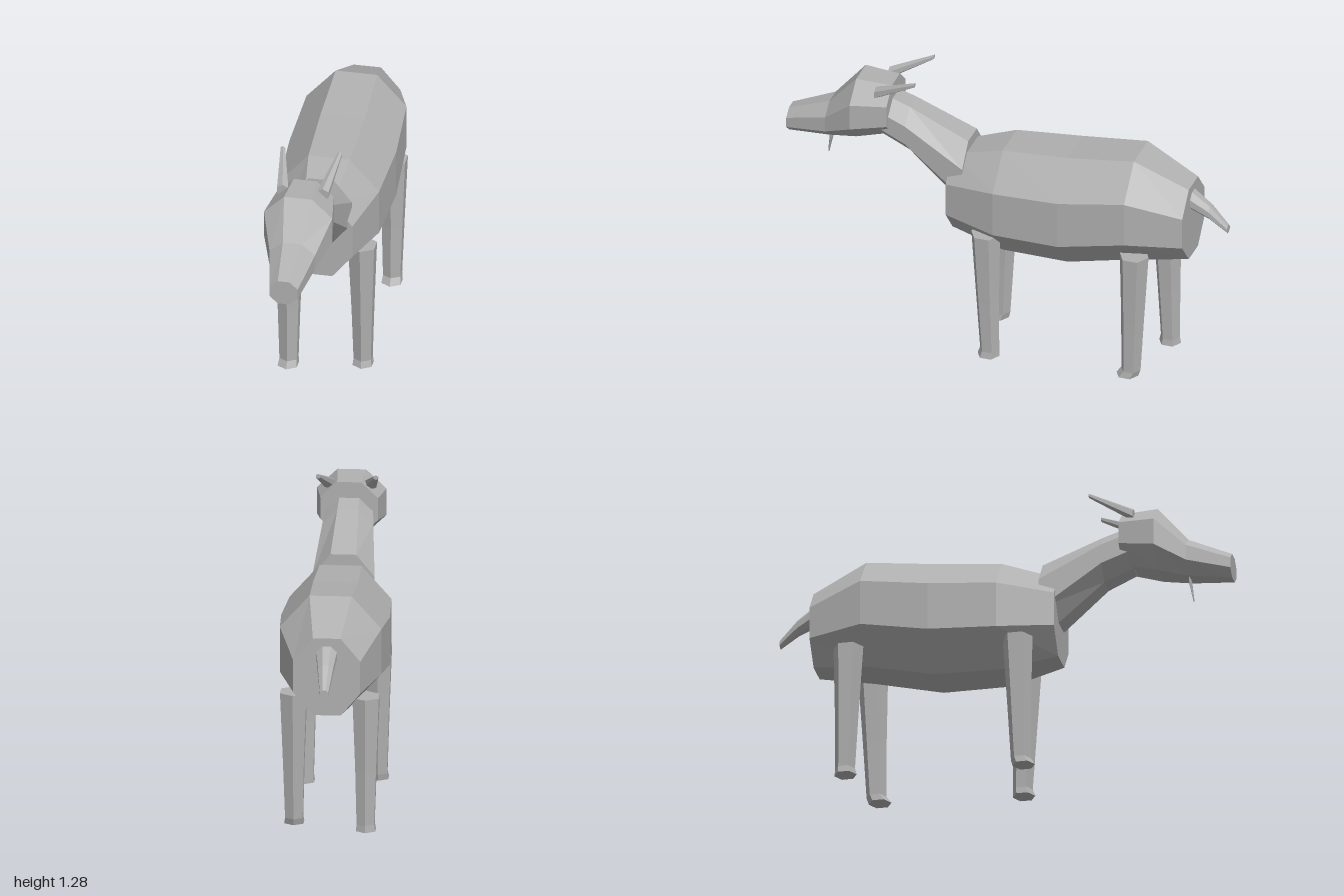
import * as THREE from 'three';

const coat = new THREE.MeshStandardMaterial({ color: 0xb0b0b0, flatShading: true });
coat.name = 'grey coat';

// Capped loft through polygon rings [w, u, v, ru, rv] ordered by rising w.
// axis 'z': u = x, v = y, w = z.  axis 'y': u = z, v = x, w = y.
function loft(name, rings, sides, axis = 'z', phase = 0.5) {
  const pos = [], index = [];
  const put = (u, v, w) => (axis === 'z' ? pos.push(u, v, w) : pos.push(v, w, u));
  const k = 1 / Math.cos(Math.PI / sides);
  for (const [w, u, v, ru, rv] of rings) {
    for (let j = 0; j < sides; j++) {
      const a = ((j + phase) / sides) * Math.PI * 2;
      put(u + ru * k * Math.cos(a), v + rv * k * Math.sin(a), w);
    }
  }
  const last = (rings.length - 1) * sides;
  for (let i = 0; i < last; i += sides) {
    for (let j = 0; j < sides; j++) {
      const n = (j + 1) % sides;
      index.push(i + j, i + n, i + sides + n, i + j, i + sides + n, i + sides + j);
    }
  }
  for (let j = 1; j < sides - 1; j++) {
    index.push(0, j + 1, j, last, last + j, last + j + 1);
  }
  const geo = new THREE.BufferGeometry();
  geo.setAttribute('position', new THREE.Float32BufferAttribute(pos, 3));
  geo.setIndex(index);
  const flat = geo.toNonIndexed();
  flat.computeVertexNormals();
  const mesh = new THREE.Mesh(flat, coat);
  mesh.name = name;
  return mesh;
}

export function createModel() {
  const model = new THREE.Group();
  model.name = 'goat';

  // Octagonal trunk, rump to chest
  model.add(loft('body', [
    [-0.84, 0, 0.777, 0.145, 0.175],
    [-0.6, 0, 0.817, 0.22, 0.247],
    [-0.3, 0, 0.763, 0.235, 0.262],
    [0, 0, 0.748, 0.22, 0.25],
    [0.24, 0, 0.735, 0.15, 0.185],
  ], 8));

  // Neck rising from the shoulders into the skull
  model.add(loft('neck', [
    [0.17, 0, 0.82, 0.135, 0.17],
    [0.44, 0, 0.995, 0.11, 0.107],
    [0.57, 0, 1.045, 0.1, 0.1],
  ], 8));

  // Skull, brow and muzzle
  model.add(loft('head', [
    [0.52, 0, 1.08, 0.125, 0.12],
    [0.68, 0, 1.06, 0.15, 0.145],
    [0.81, 0, 0.97, 0.1, 0.085],
    [1, 0, 0.92, 0.062, 0.056],
  ], 8));

  // Thin beard under the jaw
  model.add(loft('beard', [
    [0.81, 0, 0.885, 0.033, 0.033],
    [0.825, 0, 0.788, 0.012, 0.012],
  ], 8));

  // Drooping tail
  model.add(loft('tail', [
    [-1, 0, 0.753, 0.018, 0.018],
    [-0.92, 0, 0.825, 0.032, 0.032],
    [-0.82, 0, 0.885, 0.047, 0.045],
  ], 8));

  for (const s of [-1, 1]) {
    const side = s > 0 ? 'left' : 'right';

    // Swept-back horns
    model.add(loft(side + 'Horn', [
      [0.39, s * 0.125, 1.268, 0.01, 0.009],
      [0.58, s * 0.088, 1.173, 0.025, 0.025],
    ], 6));

    // Legs in a slight stride, with a small flared hoof
    const legs = [
      ['FrontLeg', 0, 0.61, 0.068 - s * 0.014, 0.066 - s * 0.03, 0.075 - s * 0.034],
      ['BackLeg', 0.03, 0.635, -0.645 + s * 0.02, -0.645 + s * 0.035, -0.636 + s * 0.042],
    ];
    for (const [part, foot, top, zTop, zAnkle, zFoot] of legs) {
      model.add(loft(side + part, [
        [foot, zFoot, s * 0.158, 0.043, 0.042],
        [foot + 0.03, zAnkle, s * 0.157, 0.038, 0.038],
        [foot + 0.28, (zTop + zAnkle) / 2, s * 0.158, 0.045, 0.045],
        [top, zTop, s * 0.158, 0.057, 0.057],
      ], 6, 'y', 0));
    }
  }
  return model;
}
